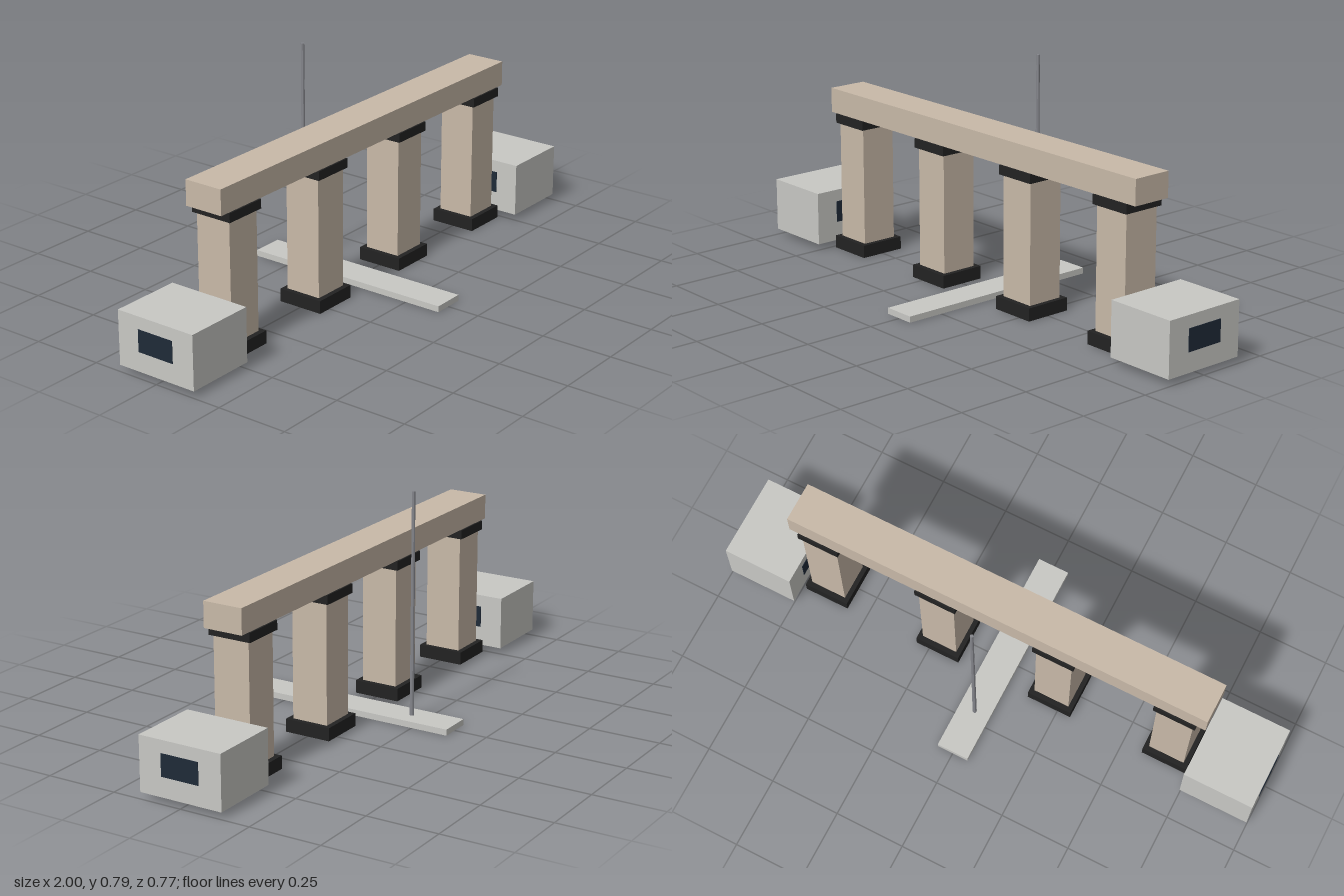
import * as THREE from 'three';

const material = (name, color, extra = {}) => {
  const m = new THREE.MeshStandardMaterial({ color, ...extra });
  m.name = name;
  return m;
};

export function createModel() {
  const stone = material('sandstone', 0xc8b9a8);
  const black = material('black trim', 0x222222);
  const concrete = material('pale concrete', 0xc8c8c4);
  const glass = material('dark glass', 0x1f2a38);
  const steel = material('steel', 0x85868c, { flatShading: true });

  const model = new THREE.Group();
  model.name = 'colonnade';

  // Box centred on (x, z) spanning y0 to y1
  const box = (parent, name, mat, w, y0, y1, d, x = 0, z = 0) => {
    const mesh = new THREE.Mesh(new THREE.BoxGeometry(w, y1 - y0, d), mat);
    mesh.position.set(x, (y0 + y1) / 2, z);
    mesh.name = name;
    parent.add(mesh);
  };

  // Long beam across the top
  box(model, 'beam', stone, 1.525, 0.493, 0.58, 0.14);

  // Four columns, each with a base and a capital
  for (const x of [-0.655, -0.217, 0.217, 0.655]) {
    const column = new THREE.Group();
    column.name = 'column';
    column.position.x = x;
    box(column, 'base', black, 0.163, 0, 0.045, 0.166);
    box(column, 'shaft', stone, 0.13, 0.045, 0.461, 0.13);
    box(column, 'capital', black, 0.15, 0.461, 0.493, 0.152);
    model.add(column);
  }

  // Side cabins with a window on the inner and outer walls
  for (const side of [-1, 1]) {
    const cabin = new THREE.Group();
    cabin.name = side > 0 ? 'leftCabin' : 'rightCabin';
    cabin.position.x = side * 0.873;
    box(cabin, 'walls', concrete, 0.25, 0.022, 0.209, 0.3);
    for (const wall of [-1, 1]) {
      box(cabin, 'window', glass, 0.004, 0.09, 0.166, 0.137, wall * 0.125);
    }
    model.add(cabin);
  }

  // Low walkway slab running front to back
  box(model, 'walkway', concrete, 0.114, 0.001, 0.022, 0.766);

  // Slim tapered pole at the rear of the walkway
  const pole = new THREE.Mesh(new THREE.CylinderGeometry(0.0058, 0.0075, 0.767, 8), steel);
  pole.position.set(0, 0.022 + 0.767 / 2, -0.219);
  pole.name = 'pole';
  model.add(pole);

  return model;
}
